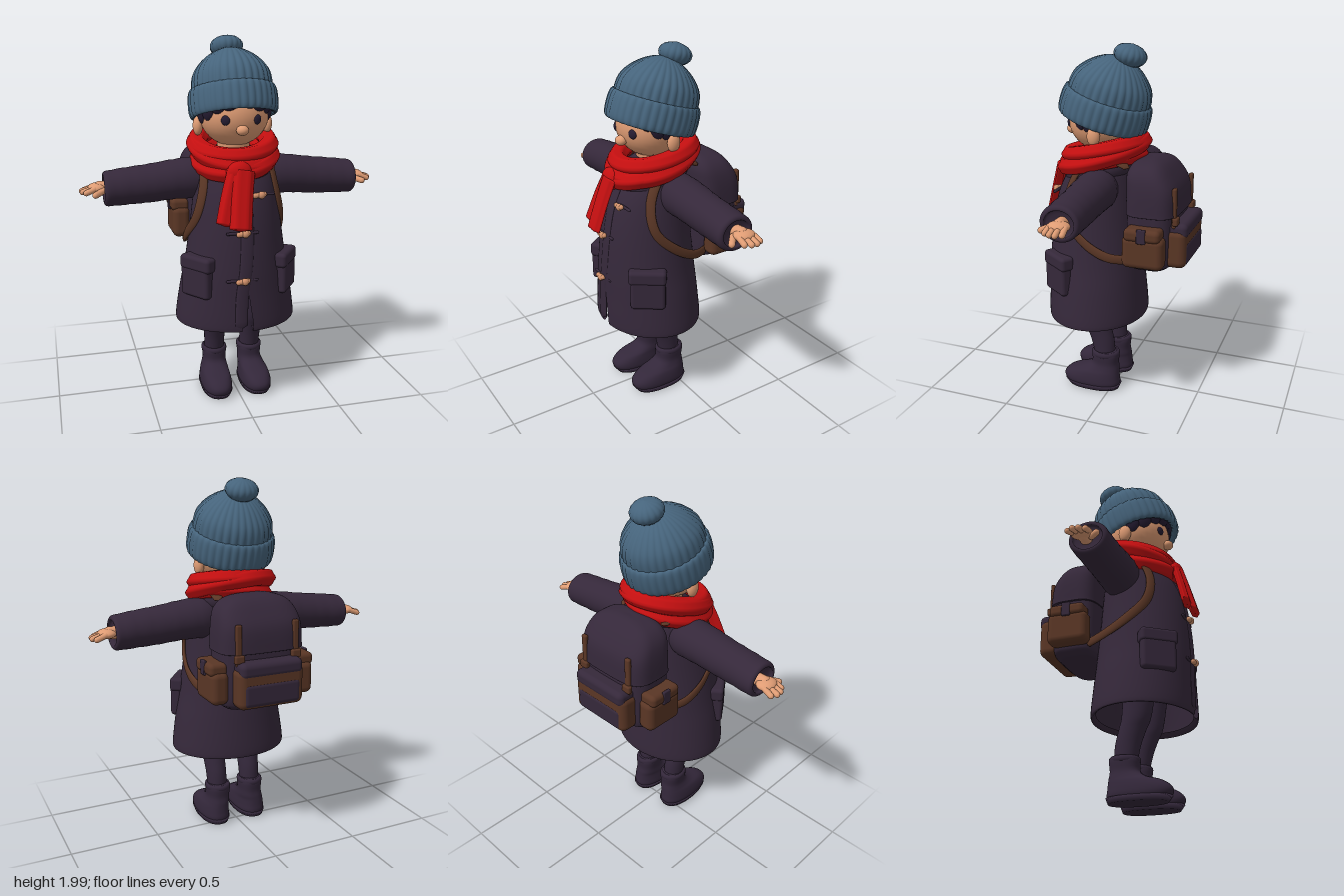
import * as THREE from 'three';
import { RoundedBoxGeometry } from 'three/addons/geometries/RoundedBoxGeometry.js';

const mat = (name, color, side = THREE.FrontSide) => {
  const m = new THREE.MeshStandardMaterial({ color, side });
  m.name = name;
  return m;
};
const V = (x, y, z) => new THREE.Vector3(x, y, z);

// Smooth surface over a grid of points; rows run along the part, columns around it
function grid(rows, cols, point, wrapRows = false, wrapCols = true) {
  const pos = [], idx = [];
  for (let i = 0; i < rows; i++) for (let j = 0; j < cols; j++) pos.push(...point(i, j).toArray());
  for (let i = 0; i < (wrapRows ? rows : rows - 1); i++) {
    for (let j = 0; j < (wrapCols ? cols : cols - 1); j++) {
      const k = (i + 1) % rows, l = (j + 1) % cols;
      const a = i * cols + j, b = i * cols + l, c = k * cols + l, d = k * cols + j;
      idx.push(a, b, c, a, c, d);
    }
  }
  const g = new THREE.BufferGeometry();
  g.setAttribute('position', new THREE.Float32BufferAttribute(pos, 3));
  g.setIndex(idx);
  g.computeVertexNormals();
  return g;
}

// Stack of rings [y, cx, cz, rx, rz]; power above 2 squares the section off
function loft(rings, { power = 2, cols = 48, steps = 4, gap = null, ripple = () => 1 } = {}) {
  const n = (rings.length - 1) * steps + 1;
  const at = (i) => rings[Math.max(0, Math.min(rings.length - 1, i))];
  const ring = (i) => {
    const k = Math.min(Math.floor(i / steps), rings.length - 2), t = i / steps - k;
    const [a, b, c, d] = [at(k - 1), at(k), at(k + 1), at(k + 2)];
    return b.map((_, q) => b[q] + 0.5 * t * (c[q] - a[q] + t * (2 * a[q] - 5 * b[q] + 4 * c[q] - d[q]
      + t * (3 * (b[q] - c[q]) + d[q] - a[q]))));
  };
  const pw = (v) => Math.sign(v) * Math.abs(v) ** (2 / power);
  return grid(n, cols, (i, j) => {
    const [y, cx, cz, rx, rz] = ring(i);
    const g = gap ? gap(y) : 0;
    const a = gap ? g + (2 * Math.PI - 2 * g) * j / (cols - 1) : 2 * Math.PI * j / cols;
    const r = ripple(y, a);
    return V(cx + Math.max(rx, 0) * r * pw(Math.sin(a)), y, cz + Math.max(rz, 0) * r * pw(Math.cos(a)));
  }, false, !gap);
}

// Flattened band along a path: w and t are half width and half thickness, ref faces outward
function sweep(points, w, t, ref, { closed = false, rows = 40, folds = 0 } = {}) {
  const curve = new THREE.CatmullRomCurve3(points, closed);
  const cols = 24, last = rows - 1;
  return grid(rows, cols, (i, j) => {
    const u = closed ? i / rows : i / last;
    const p = curve.getPoint(u), T = curve.getTangent(u);
    const side = ref(p).cross(T).normalize(), n = T.clone().cross(side);
    const a = j / cols * Math.PI * 2;
    const k = !closed && (i === 0 || i === last) ? 0.001 : 1 + folds * Math.cos(6 * a);
    return p.addScaledVector(side, w * k * Math.cos(a)).addScaledVector(n, t * k * Math.sin(a));
  }, closed);
}

export function createModel() {
  const model = new THREE.Group();
  model.name = 'child in winter coat';
  const coat = mat('dark plum cloth', 0x35283a, THREE.DoubleSide);
  const boot = mat('dark boot leather', 0x33273a);
  const brown = mat('brown leather', 0x5a3625);
  const red = mat('red wool', 0xc40f10);
  const blue = mat('blue wool', 0x46647c, THREE.DoubleSide);
  const skin = mat('skin', 0xdf9c74);
  const hair = mat('dark hair', 0x261d33);
  const wood = mat('light wood', 0xd0906a);

  const add = (name, geo, material, pos = [0, 0, 0], parent = model) => {
    const m = new THREE.Mesh(geo, material);
    m.name = name;
    m.position.set(...pos);
    parent.add(m);
    return m;
  };
  const ball = (name, material, pos, r, parent) =>
    add(name, new THREE.SphereGeometry(1, 32, 20).scale(...r), material, pos, parent);
  const box = (name, material, pos, size, r = 0.02) =>
    add(name, new RoundedBoxGeometry(...size, 4, r), material, pos);
  const rod = (name, material, a, b, r) => {
    const d = b.clone().sub(a), c = a.clone().add(b).multiplyScalar(0.5);
    const m = add(name, new THREE.CapsuleGeometry(r, d.length(), 6, 14), material, c.toArray());
    m.quaternion.setFromUnitVectors(V(0, 1, 0), d.normalize());
  };

  // Coat, split below the waist at the front
  add('coat', loft([
    [0.48, 0, 0.115, 0.30, 0.255], [0.455, 0, 0.115, 0.325, 0.272], [0.48, 0, 0.115, 0.335, 0.283],
    [0.65, 0, 0.12, 0.31, 0.275], [0.8, 0, 0.125, 0.28, 0.267], [1.0, 0, 0.125, 0.25, 0.25],
    [1.15, 0, 0.115, 0.23, 0.23], [1.25, 0, 0.1, 0.215, 0.205], [1.33, 0, 0.08, 0.195, 0.17],
    [1.38, 0, 0.07, 0.14, 0.13], [1.42, 0, 0.07, 0.08, 0.08]],
  { cols: 73, gap: (y) => 0.09 * THREE.MathUtils.clamp((0.7 - y) / 0.2, 0, 1) }), coat);
  add('coatPlacket', sweep([V(-0.035, 0.47, 0.392), V(-0.03, 0.65, 0.39), V(-0.01, 0.8, 0.388), V(0, 1, 0.371),
    V(0, 1.15, 0.342), V(0, 1.28, 0.29)], 0.035, 0.01, () => V(0, 0, 1)), coat);
  const loop = (rx, rz, cz, y, drop, lean) => Array.from({ length: 16 }, (_, i) => {
    const a = i / 16 * Math.PI * 2;
    return V(rx * Math.sin(a), y - drop * Math.cos(a) + lean * Math.sin(a), cz + rz * Math.cos(a));
  });
  const up = () => V(0, 1, 0);
  add('coatCollar', sweep(loop(0.17, 0.175, 0.09, 1.32, 0.04, 0), 0.035, 0.05, up, { closed: true, rows: 64 }), coat);

  // Toggles with cords
  for (const [x, y, z] of [[0.075, 1.19, 0.335], [-0.025, 1.0, 0.388], [-0.03, 0.745, 0.404]]) {
    rod('toggle', wood, V(x - 0.025, y - 0.003, z), V(x + 0.025, y + 0.003, z), 0.014);
    ball('toggleBead', wood, [x + 0.01, y, z + 0.005], [0.02, 0.02, 0.016]);
    rod('toggleCord', coat, V(x - 0.08, y, z - 0.018), V(x + 0.08, y, z - 0.018), 0.008);
  }

  for (const s of [1, -1]) {
    // Sleeve with a recessed cuff
    const sleeve = loft([[0.1, -1.23, 0.05, 0.10, 0.09], [0.2, -1.24, 0.045, 0.113, 0.112],
      [0.32, -1.236, 0.045, 0.108, 0.112], [0.45, -1.222, 0.045, 0.104, 0.106], [0.57, -1.213, 0.045, 0.1, 0.104],
      [0.67, -1.205, 0.045, 0.095, 0.105], [0.698, -1.204, 0.045, 0.088, 0.098], [0.703, -1.204, 0.045, 0.07, 0.08],
      [0.685, -1.204, 0.045, 0.06, 0.07], [0.675, -1.204, 0.045, 0, 0]]
      .map(([y, cx, ...r]) => [y, s * cx, ...r]), { ripple: (y, a) => 1 + 0.012 * Math.sin(y * 75 + Math.cos(a)) });
    add('sleeve', sleeve.rotateZ(-s * Math.PI / 2), coat);

    // Hand, palm down
    rod('wrist', skin, V(s * 0.64, 1.205, 0.035), V(s * 0.72, 1.21, 0.03), 0.034);
    ball('palm', skin, [s * 0.735, 1.208, 0.028], [0.05, 0.027, 0.057]);
    [0.8, 0.815, 0.812, 0.795].forEach((x, i) => rod('finger', skin,
      V(s * 0.75, 1.208, -0.012 + i * 0.027), V(s * x, 1.19, -0.018 + i * 0.03), 0.0155));
    rod('thumb', skin, V(s * 0.705, 1.198, 0.07), V(s * 0.75, 1.185, 0.112), 0.017);

    // Coat pocket
    box('coatPocket', coat, [s * 0.246, 0.72, 0.265], [0.19, 0.17, 0.065]).rotation.y = s * 0.95;
    box('coatPocketFlap', coat, [s * 0.24, 0.822, 0.264], [0.205, 0.08, 0.08]).rotation.y = s * 0.95;

    // Leg and boot
    add('leg', loft([[0.2, s * 0.105, 0.04, 0.055, 0.06], [0.3, s * 0.106, 0.055, 0.058, 0.068],
      [0.38, s * 0.108, 0.08, 0.062, 0.073], [0.46, s * 0.11, 0.105, 0.068, 0.08],
      [0.7, s * 0.11, 0.13, 0.08, 0.09]], { cols: 28 }), boot);
    add('boot', loft([[0.012, s * 0.115, 0.11, 0, 0], [0.012, s * 0.115, 0.11, 0.065, 0.14],
      [0.035, s * 0.115, 0.118, 0.083, 0.168], [0.07, s * 0.115, 0.12, 0.083, 0.168],
      [0.105, s * 0.113, 0.1, 0.077, 0.145], [0.13, s * 0.108, 0.062, 0.07, 0.105],
      [0.165, s * 0.105, 0.04, 0.064, 0.078], [0.235, s * 0.105, 0.038, 0.064, 0.075],
      [0.24, s * 0.105, 0.038, 0, 0]], { power: 2.4, cols: 40 }), boot);
    add('bootCuff', new THREE.TorusGeometry(0.062, 0.011, 10, 36).rotateX(Math.PI / 2).scale(1, 1.6, 1.15),
      boot, [s * 0.105, 0.222, 0.038]);
    add('bootSole', loft([[0, s * 0.115, 0.11, 0, 0], [0, s * 0.115, 0.11, 0.078, 0.155],
      [0.03, s * 0.115, 0.115, 0.087, 0.172], [0.03, s * 0.115, 0.115, 0, 0]], { power: 2.4, steps: 1 }), boot);

    // Shoulder strap running under the arm to the pack
    const strap = [[0.15, 1.36, -0.12], [0.16, 1.4, 0], [0.18, 1.35, 0.14], [0.2, 1.21, 0.215], [0.235, 1.06, 0.205],
      [0.265, 0.95, 0.1], [0.255, 0.88, -0.03], [0.2, 0.86, -0.15]].map(([x, y, z]) => V(s * x, y, z));
    add('shoulderStrap', sweep(strap, 0.026, 0.011,
      (p) => V(p.x - s * 0.05, Math.max(0, p.y - 1.25) * 2, p.z - 0.06)), brown);

    // Pack side pocket and lid straps
    box('packSidePocket', brown, [s * 0.25, 0.94, -0.235], [0.1, 0.18, 0.23], 0.035);
    box('packSideFlap', brown, [s * 0.255, 1.04, -0.235], [0.105, 0.07, 0.2], 0.025);
    box('packSideTab', coat, [s * 0.302, 1.04, -0.235], [0.018, 0.08, 0.05], 0.006);
    box('lidStrap', brown, [s * 0.165, 1.17, -0.375], [0.035, 0.22, 0.025], 0.01);
    box('lidBuckle', brown, [s * 0.165, 1.1, -0.385], [0.055, 0.045, 0.03], 0.01);

    // Ear and eye
    ball('ear', skin, [s * 0.193, 1.525, 0.068], [0.027, 0.052, 0.036]);
    ball('eye', hair, [s * 0.085, 1.572, 0.248], [0.024, 0.026, 0.012]).rotation.y = s * 0.45;
  }

  // Backpack
  const lidRings = [[1.25, 0, -0.238, 0.237, 0.142], [1.33, 0, -0.215, 0.215, 0.12],
    [1.38, 0, -0.205, 0.165, 0.085], [1.402, 0, -0.2, 0.08, 0.04], [1.403, 0, -0.2, 0, 0]];
  add('packBody', loft([[0.8, 0, -0.22, 0, 0], [0.8, 0, -0.22, 0.15, 0.09], [0.82, 0, -0.225, 0.205, 0.12],
    [0.87, 0, -0.235, 0.23, 0.137], [1.1, 0, -0.237, 0.23, 0.137], [1.25, 0, -0.23, 0.222, 0.13],
    [1.33, 0, -0.215, 0.19, 0.1], [1.36, 0, -0.21, 0, 0]], { power: 3.6, cols: 64 }), coat);
  add('packLid', loft([[1.13, 0, -0.24, 0.2, 0.12], [1.12, 0, -0.242, 0.24, 0.146], [1.14, 0, -0.243, 0.243, 0.148],
    ...lidRings], { power: 3.6, cols: 64 }), coat);
  box('packBackPocket', brown, [0, 0.945, -0.385], [0.38, 0.22, 0.12], 0.04);
  box('packBackPanel', coat, [0, 0.915, -0.4], [0.33, 0.13, 0.1], 0.025);
  box('packBackFlap', coat, [0, 1.045, -0.392], [0.36, 0.085, 0.115], 0.03);

  // Scarf coils and hanging ends
  const ring = { closed: true, rows: 80, folds: 0.07 };
  add('scarfUpperCoil', sweep(loop(0.195, 0.195, 0.07, 1.43, 0.045, 0.01), 0.05, 0.047, up, ring), red);
  add('scarfMiddleCoil', sweep(loop(0.203, 0.21, 0.075, 1.4, 0.07, -0.015), 0.048, 0.045, up, ring), red);
  add('scarfLowerCoil', sweep(loop(0.19, 0.205, 0.09, 1.355, 0.05, 0.025), 0.048, 0.045, up, ring), red);
  ball('scarfKnot', red, [-0.03, 1.31, 0.315], [0.07, 0.06, 0.045]);
  const forward = () => V(0, 0, 1);
  add('scarfBackEnd', sweep([V(-0.04, 1.33, 0.32), V(-0.085, 1.2, 0.36), V(-0.125, 1.05, 0.4)],
    0.048, 0.022, forward, { folds: 0.1 }), red);
  add('scarfFrontEnd', sweep([V(-0.01, 1.33, 0.335), V(-0.03, 1.2, 0.375), V(-0.05, 1.025, 0.425)],
    0.055, 0.023, forward, { folds: 0.1 }), red);

  // Head
  rod('neck', skin, V(0, 1.35, 0.07), V(0, 1.45, 0.08), 0.09);
  ball('head', skin, [0, 1.585, 0.095], [0.187, 0.17, 0.177]);
  ball('nose', skin, [0, 1.52, 0.268], [0.033, 0.027, 0.032]);

  // Hair under the hat: [angle, height of tip, half width]
  const cap = add('hairCap', new THREE.SphereGeometry(1, 40, 20, 0, Math.PI * 2, 0, 1.45).scale(0.197, 0.18, 0.19),
    hair, [0, 1.595, 0.09]);
  cap.rotation.x = -0.4;
  for (const [a, tip, w] of [[-1.45, 1.54, 0.05], [-1.1, 1.56, 0.05], [-0.75, 1.6, 0.05], [-0.4, 1.62, 0.055],
    [-0.05, 1.635, 0.05], [0.25, 1.63, 0.055], [0.6, 1.61, 0.055], [0.95, 1.59, 0.05], [1.25, 1.55, 0.05],
    [1.5, 1.54, 0.045]]) {
    const h = 1.72 - tip;
    const tuft = add('hairTuft', new THREE.SphereGeometry(1, 16, 12).scale(w, h / 2, 0.028), hair,
      [0.178 * Math.sin(a), tip + h / 2, 0.09 + 0.172 * Math.cos(a)]);
    tuft.rotation.y = a;
  }

  // Ribbed hat with folded brim and pompom, tipped back
  const hat = new THREE.Group();
  hat.name = 'woolHat';
  hat.position.set(0, 1.65, 0.07);
  hat.rotation.x = -0.3;
  model.add(hat);
  const ribs = (n, depth) => ({ cols: n * 6, steps: 3, ripple: (y, a) => 1 + depth * Math.abs(Math.cos(a * n / 2)) });
  add('hatCrown', loft([[0.03, 0, 0, 0.21, 0.222], [0.1, 0, 0, 0.209, 0.222], [0.16, 0, 0, 0.194, 0.203],
    [0.22, 0, 0, 0.148, 0.152], [0.262, 0, 0, 0.09, 0.092], [0.282, 0, 0, 0.04, 0.04], [0.286, 0, 0, 0, 0]],
  ribs(32, 0.04)), blue, [0, 0, 0], hat);
  add('hatBrim', loft([[-0.04, 0, 0, 0.19, 0.2], [-0.075, 0, 0, 0.205, 0.218], [-0.08, 0, 0, 0.222, 0.236],
    [-0.055, 0, 0, 0.233, 0.247], [0.0, 0, 0, 0.235, 0.249], [0.05, 0, 0, 0.23, 0.243],
    [0.07, 0, 0, 0.216, 0.228], [0.06, 0, 0, 0.19, 0.2]], ribs(36, 0.028)), blue, [0, 0, 0], hat);
  const pom = loft([[-0.062, 0, 0, 0, 0], [-0.05, 0, 0, 0.05, 0.05], [-0.02, 0, 0, 0.082, 0.082],
    [0.015, 0, 0, 0.084, 0.084], [0.045, 0, 0, 0.055, 0.055], [0.06, 0, 0, 0, 0]], ribs(16, 0.05));
  add('pompom', pom, blue, [0, 0.31, -0.05], hat);

  return model;
}
